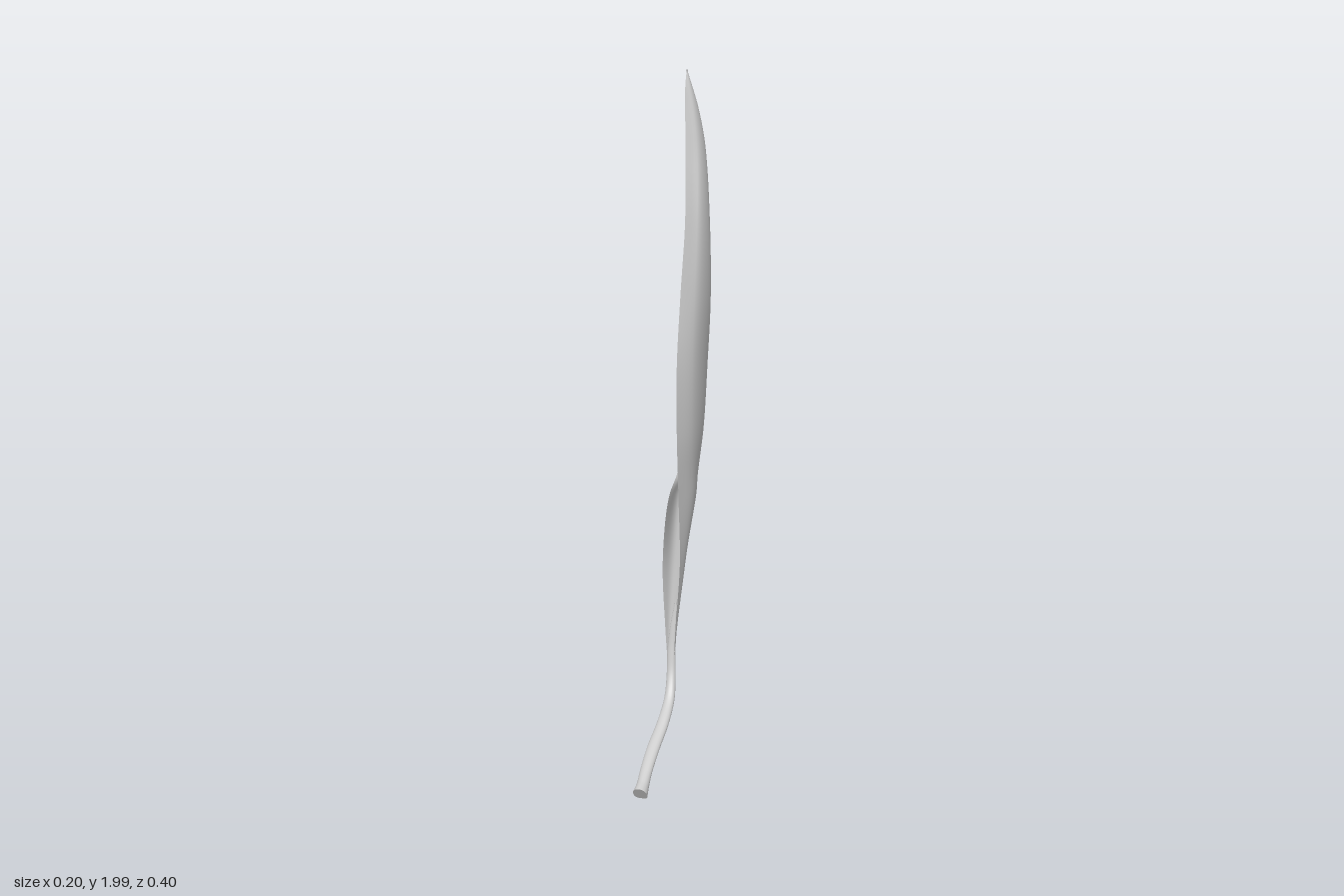
import * as THREE from 'three';

const V = (x, y, z) => new THREE.Vector3(x, y, z);
const material = new THREE.MeshStandardMaterial({ color: 0xcccccc, side: THREE.DoubleSide });

// Skin a list of equal-length point rows with a smooth surface.
function loft(name, rows, closed) {
  const n = rows[0].length, index = [];
  const spans = closed ? n : n - 1;
  for (let i = 0; i < rows.length - 1; i++) {
    for (let j = 0; j < spans; j++) {
      const a = i * n + j, b = i * n + (j + 1) % n;
      index.push(a, b, a + n, b, b + n, a + n);
    }
  }
  const geometry = new THREE.BufferGeometry().setFromPoints(rows.flat());
  geometry.setIndex(index);
  geometry.computeVertexNormals();
  const mesh = new THREE.Mesh(geometry, material);
  mesh.name = name;
  return mesh;
}

// Blade cross-sections: height, then five x,z pairs from the back edge round to the front edge.
// The back edge curls forward into a small flap that ends just above 0.8.
const sections = [
  [0.30, -0.090, -0.130, -0.087, -0.138, -0.079, -0.141, -0.070, -0.138, -0.066, -0.131],
  [0.40, -0.098, -0.130, -0.093, -0.146, -0.080, -0.150, -0.065, -0.146, -0.061, -0.132],
  [0.60, -0.098, -0.118, -0.092, -0.160, -0.065, -0.171, -0.040, -0.152, -0.033, -0.115],
  [0.80, -0.067, -0.106, -0.078, -0.176, -0.030, -0.184, -0.002, -0.138, -0.012, -0.080],
  [0.87, -0.074, -0.160, -0.058, -0.195, -0.016, -0.178, 0.010, -0.125, -0.004, -0.066],
  [1.00, -0.064, -0.182, -0.040, -0.200, 0.014, -0.164, 0.035, -0.092, 0.010, -0.041],
  [1.20, -0.030, -0.172, -0.010, -0.186, 0.046, -0.138, 0.063, -0.056, 0.028, -0.016],
  [1.40, 0.018, -0.126, 0.035, -0.142, 0.078, -0.106, 0.085, -0.034, 0.043, -0.012],
  [1.60, 0.040, -0.094, 0.052, -0.106, 0.088, -0.086, 0.093, -0.031, 0.056, -0.015],
  [1.80, 0.051, -0.084, 0.061, -0.091, 0.080, -0.074, 0.083, -0.040, 0.053, -0.020],
  [1.90, 0.050, -0.066, 0.057, -0.069, 0.070, -0.055, 0.070, -0.037, 0.050, -0.022],
  [1.96, 0.049, -0.046, 0.053, -0.047, 0.059, -0.040, 0.059, -0.033, 0.049, -0.024],
  [2.00, 0.050, -0.031, 0.050, -0.031, 0.050, -0.030, 0.050, -0.029, 0.050, -0.029],
];

// Five smooth rails run up the blade, and each row is a smooth arc through them.
const rails = [0, 1, 2, 3, 4].map((k) => new THREE.CatmullRomCurve3(
  sections.map((s) => V(s[1 + 2 * k], s[0], s[2 + 2 * k]))));

function createBlade() {
  const rows = [];
  for (let i = 0; i <= 96; i++) {
    const arc = new THREE.CatmullRomCurve3(rails.map((r) => r.getPoint(i / 96)));
    rows.push(arc.getPoints(20));
  }
  return loft('leafBlade', rows, false);
}

// Flattened stalk that bends up from a flared foot and merges into the blade.
function createStalk() {
  const stations = [ // x, y, z, half width, half depth
    [0.056, 0.022, 0.190, 0.021, 0.024],
    [0.046, 0.038, 0.165, 0.018, 0.017],
    [0.030, 0.061, 0.130, 0.018, 0.013],
    [0.002, 0.100, 0.060, 0.019, 0.012],
    [-0.024, 0.144, -0.020, 0.018, 0.012],
    [-0.053, 0.195, -0.092, 0.016, 0.012],
    [-0.069, 0.250, -0.121, 0.014, 0.010],
    [-0.078, 0.320, -0.135, 0.013, 0.008],
    [-0.079, 0.400, -0.145, 0.009, 0.004],
    [-0.076, 0.480, -0.156, 0.002, 0.001],
  ];
  const path = new THREE.CatmullRomCurve3(stations.map((s) => V(s[0], s[1], s[2])));
  const sizes = new THREE.CatmullRomCurve3(stations.map((s) => V(s[3], s[4], 0)));
  const side = V(0.94, 0, -0.34);
  const rows = [];
  for (let i = 0; i <= 60; i++) {
    const t = i / 60, p = path.getPoint(t), size = sizes.getPoint(t);
    const up = path.getTangent(t).cross(side).normalize();
    const ring = [];
    for (let j = 0; j < 16; j++) {
      const a = j / 16 * Math.PI * 2;
      // Shallow groove along the upper face
      const groove = 1 - 0.25 * Math.max(0, Math.sin(a)) ** 4;
      ring.push(p.clone().addScaledVector(side, Math.cos(a) * size.x)
        .addScaledVector(up, Math.sin(a) * size.y * groove));
    }
    rows.push(ring);
  }
  // Closed cut end at the foot
  const foot = path.getPoint(0);
  rows.unshift(rows[0].map(() => foot.clone()), rows[0].map((p) => p.clone()));
  return loft('stalk', rows, true);
}

export function createModel() {
  const group = new THREE.Group();
  group.name = 'leaf';
  group.add(createBlade(), createStalk());
  return group;
}
